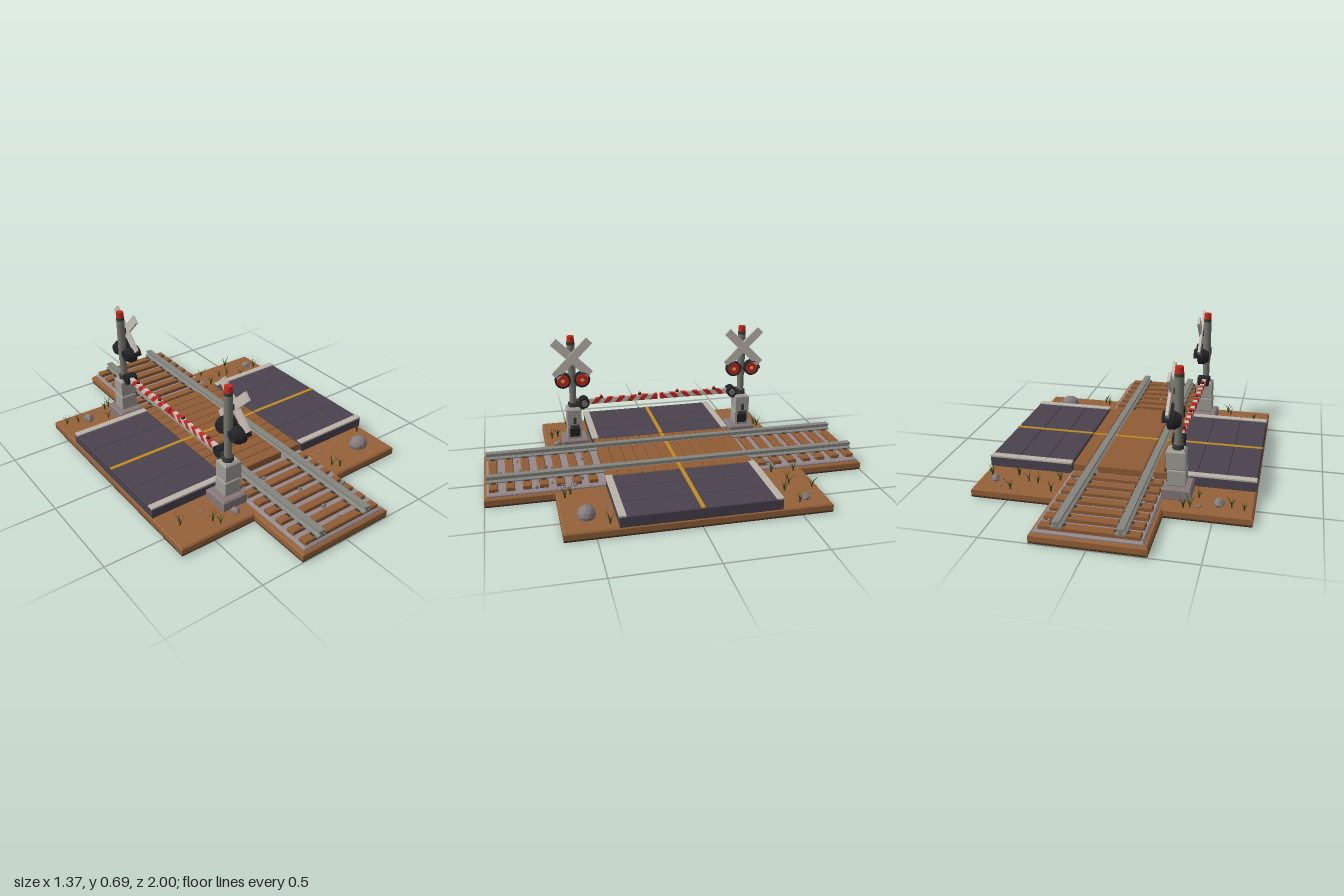
import * as THREE from 'three';

const C = {
  dirt: 0x96623a, under: 0x472f1e, ballast: 0x95898c, wood: 0x8f5c35, steel: 0x85857f, steelDark: 0x3a3a38,
  asphalt: 0x4a434f, curb: 0xbab4aa, yellow: 0xc08c22, concrete: 0x85797a, cabinet: 0xa09d97, pole: 0x77776f,
  black: 0x232327, red: 0xc8281f, white: 0xc9c2b8, amber: 0xe8a040, rock: 0x857d80, grass: 0x3b4a1e,
};
const mats = {};
const mat = (c) => (mats[c] ??= new THREE.MeshStandardMaterial({ color: c, flatShading: true }));
const smoothMat = (c) => (mats['s' + c] ??= new THREE.MeshStandardMaterial({ color: c }));

function add(parent, name, geo, material, x = 0, y = 0, z = 0) {
  const m = new THREE.Mesh(geo, material);
  m.name = name;
  m.position.set(x, y, z);
  parent.add(m);
  return m;
}
// Box given by its min and max on each axis
function box(parent, name, color, [x0, x1], [y0, y1], [z0, z1]) {
  return add(parent, name, new THREE.BoxGeometry(x1 - x0, y1 - y0, z1 - z0), mat(color),
    (x0 + x1) / 2, (y0 + y1) / 2, (z0 + z1) / 2);
}
// Slab with chamfered edges, extruded upwards from an x/z outline
function slabGeometry(points, height, bevel) {
  const shape = new THREE.Shape(points.map(([x, z]) => new THREE.Vector2(x, -z)));
  const geo = new THREE.ExtrudeGeometry(shape, {
    depth: height - 2 * bevel, bevelSize: bevel, bevelThickness: bevel, bevelOffset: -bevel, bevelSegments: 1,
  });
  return geo.rotateX(-Math.PI / 2).translate(0, bevel, 0);
}
function slab(parent, name, color, [x0, x1], [y0, y1], [z0, z1], bevel = 0.005) {
  const geo = slabGeometry([[x0, z1], [x1, z1], [x1, z0], [x0, z0]], y1 - y0, bevel);
  return add(parent, name, geo, mat(color), 0, y0, 0);
}
// Cylinder lying along x
function discX(parent, name, color, r, x0, x1, y, z, r2 = r) {
  const geo = new THREE.CylinderGeometry(r2, r, x1 - x0, 20).rotateZ(-Math.PI / 2);
  return add(parent, name, geo, smoothMat(color), (x0 + x1) / 2, y, z);
}
function seeded(seed) {
  return () => (seed = (seed * 16807) % 2147483647) / 2147483647;
}

function buildGround(root) {
  const g = new THREE.Group();
  g.name = 'ground';
  const cross = [[-0.27, 1], [0.265, 1], [0.265, 0.652], [0.682, 0.652], [0.682, -0.655], [0.265, -0.655],
    [0.265, -1], [-0.27, -1], [-0.27, -0.655], [-0.685, -0.655], [-0.685, 0.652], [-0.27, 0.652]];
  add(g, 'dirtBase', slabGeometry(cross, 0.043, 0.008), mat(C.dirt), 0, 0.004, 0);
  add(g, 'underside', slabGeometry(cross, 0.012, 0.004), mat(C.under));
  root.add(g);
}

function buildTrack(root) {
  const g = new THREE.Group();
  g.name = 'track';
  slab(g, 'ballast', C.ballast, [-0.25, 0.25], [0.04, 0.062], [-0.985, 0.985], 0.008);
  // Sleepers at both ends, outside the road
  for (let i = 0; i < 7; i++) {
    for (const s of [-1, 1]) {
      const z = s * (0.95 - i * 0.083);
      slab(g, 'sleeper', C.wood, [-0.235, 0.226], [0.058, 0.083], [z - 0.022, z + 0.022], 0.004);
    }
  }
  // Rails with foot, web and head
  const half = [[0.024, 0], [0.024, 0.006], [0.008, 0.012], [0.008, 0.02], [0.017, 0.023], [0.017, 0.033]];
  const outline = [...half, ...half.map(([x, y]) => [-x, y]).reverse()];
  const rail = new THREE.ExtrudeGeometry(new THREE.Shape(outline.map((p) => new THREE.Vector2(...p))),
    { depth: 1.97, bevelEnabled: false });
  for (const x of [-0.148, 0.14]) {
    add(g, 'rail', rail, mat(C.steel), x, 0.082, -0.985);
    // Spike plates on each sleeper
    for (let i = 0; i < 7; i++) {
      for (const s of [-1, 1]) {
        const z = s * (0.95 - i * 0.083);
        box(g, 'tiePlate', C.steelDark, [x - 0.034, x + 0.034], [0.08, 0.087], [z - 0.012, z + 0.012]);
      }
    }
  }
  // Loose ballast stones
  const rnd = seeded(71);
  for (let i = 0; i < 44; i++) {
    const s = i % 2 ? 1 : -1;
    const p = add(g, 'pebble', new THREE.DodecahedronGeometry(0.008 + rnd() * 0.008), mat(C.rock),
      -0.235 + rnd() * 0.47, 0.066, s * (0.42 + rnd() * 0.54));
    p.rotation.set(rnd() * 3, rnd() * 3, 0);
    p.scale.y = 0.8;
  }
  root.add(g);
}

function buildRoad(root) {
  const g = new THREE.Group();
  g.name = 'road';
  const cols = [0.247, 0.388, 0.537, 0.683], rows = [-0.395, -0.2, 0, 0.2, 0.395];
  for (const s of [-1, 1]) {
    for (let i = 0; i < 3; i++) {
      const xs = [s * cols[i], s * cols[i + 1]].sort((a, b) => a - b);
      for (let j = 0; j < 4; j++) {
        slab(g, 'asphaltSlab', C.asphalt, xs, [0.045, 0.103], [rows[j], rows[j + 1]], 0.004);
      }
      for (const z of [-0.38, 0.38]) {
        slab(g, 'curbStrip', C.curb, xs, [0.097, 0.109], [z - 0.018, z + 0.018], 0.002);
      }
    }
    const ends = [s * 0.247, s * 0.682].sort((a, b) => a - b);
    box(g, 'centreLine', C.yellow, ends, [0.1, 0.1055], [-0.01, 0.01]);
  }
  // Plank decking beside and between the rails
  for (let i = 0; i < 12; i++) {
    const z = -0.39 + i * 0.065;
    for (const xs of [[-0.243, -0.174], [-0.122, 0.114], [0.166, 0.24]]) {
      slab(g, 'deckPlank', C.wood, xs, [0.058, 0.102], [z + 0.001, z + 0.064], 0.004);
    }
  }
  for (const xs of [[-0.243, -0.174], [-0.122, 0.114], [0.166, 0.24]]) {
    box(g, 'deckLine', C.yellow, xs, [0.1, 0.1035], [-0.009, 0.009]);
  }
  root.add(g);
}

// One signal, standing at positive z with its arm reaching to the middle
function buildSignal() {
  const g = new THREE.Group(), px = -0.31, pz = 0.49;
  g.name = 'signal';
  slab(g, 'concretePad', C.concrete, [-0.385, -0.245], [0.043, 0.105], [0.415, 0.56], 0.008);
  slab(g, 'cabinetLower', C.cabinet, [-0.354, -0.264], [0.105, 0.188], [0.45, 0.531], 0.005);
  slab(g, 'cabinetUpper', C.cabinet, [-0.352, -0.258], [0.183, 0.287], [0.451, 0.53], 0.01);
  box(g, 'ventPanel', C.black, [-0.266, -0.26], [0.12, 0.168], [0.462, 0.519]);
  box(g, 'lockPlate', C.steelDark, [-0.26, -0.25], [0.2, 0.235], [0.482, 0.498]);
  box(g, 'hinge', C.steelDark, [-0.264, -0.25], [0.172, 0.19], [0.465, 0.515]);
  // Pole with collar and beacon
  const cyl = (name, c, r, y0, y1, rt = r) =>
    add(g, name, new THREE.CylinderGeometry(rt, r, y1 - y0, 16), smoothMat(c), px, (y0 + y1) / 2, pz);
  cyl('poleCollar', C.steelDark, 0.028, 0.285, 0.31);
  cyl('pole', C.pole, 0.019, 0.3, 0.66);
  cyl('poleSleeve', C.pole, 0.022, 0.4, 0.645);
  cyl('beaconSeat', C.steelDark, 0.022, 0.645, 0.66);
  cyl('beacon', C.red, 0.021, 0.66, 0.692, 0.019);
  // Crossed boards
  for (const s of [-1, 1]) {
    const b = add(g, 'crossBoard', new THREE.BoxGeometry(0.014, 0.046, 0.275), mat(C.white),
      -0.275 + s * 0.003, 0.575, pz);
    b.rotation.x = s * Math.PI / 4;
  }
  box(g, 'boardBracket', C.steelDark, [-0.3, -0.275], [0.56, 0.59], [pz - 0.012, pz + 0.012]);
  // Twin warning lamps with hoods
  box(g, 'lampBar', C.black, [-0.325, -0.29], [0.435, 0.465], [pz - 0.06, pz + 0.06]);
  for (const s of [-1, 1]) {
    const z = pz + s * 0.053;
    discX(g, 'lampHousing', C.black, 0.028, -0.328, -0.3, 0.449, z, 0.044);
    discX(g, 'lampRim', C.black, 0.044, -0.3, -0.272, 0.449, z);
    discX(g, 'lampLens', C.red, 0.037, -0.28, -0.266, 0.449, z, 0.032);
    discX(g, 'lampBulb', C.amber, 0.013, -0.27, -0.261, 0.449, z, 0.008);
    const hoodMat = new THREE.MeshStandardMaterial({ color: C.black, side: THREE.DoubleSide });
    const hood = new THREE.CylinderGeometry(0.043, 0.043, 0.028, 16, 1, true, 0, Math.PI).rotateZ(Math.PI / 2);
    // Put the open side of the hood downwards
    hood.computeBoundingBox();
    if (hood.boundingBox.max.y < 0.01) hood.rotateX(Math.PI);
    add(g, 'lampHood', hood, hoodMat, -0.26, 0.449, z);
  }
  // Barrier arm: pivot, striped boom and boom lamps
  const ay = 0.308;
  discX(g, 'armPivot', C.black, 0.029, -0.335, -0.275, ay, 0.43);
  discX(g, 'pivotCap', C.pole, 0.018, -0.28, -0.268, ay, 0.43);
  box(g, 'pivotMount', C.steelDark, [-0.33, -0.285], [0.27, 0.32], [0.43, 0.475]);
  const n = 12, z0 = 0.41, len = 0.402, slant = 0.013;
  for (let i = 0; i < n; i++) {
    const zb = z0 - (i + 1) * len / n, za = z0 - i * len / n;
    const edge = (z, k) => (k === 0 || k === n ? 0 : slant);
    const a = edge(za, i), b = edge(zb, i + 1);
    const shape = new THREE.Shape([[-za - a, -0.015], [-zb - b, -0.015], [-zb + b, 0.015], [-za + a, 0.015]]
      .map((p) => new THREE.Vector2(...p)));
    const geo = new THREE.ExtrudeGeometry(shape, { depth: 0.022, bevelEnabled: false });
    geo.rotateY(Math.PI / 2);
    add(g, 'armStripe', geo, mat(i % 2 ? C.red : C.white), -0.322, ay, 0);
  }
  for (const z of [0.11, 0.33]) {
    add(g, 'armLampBase', new THREE.CylinderGeometry(0.01, 0.01, 0.008, 10), mat(C.black), -0.311, ay + 0.018, z);
    add(g, 'armLamp', new THREE.SphereGeometry(0.008, 10, 6), smoothMat(C.red), -0.311, ay + 0.025, z);
  }
  return g;
}

function buildScenery(root) {
  const g = new THREE.Group(), rnd = seeded(29);
  g.name = 'scenery';
  // Rocks: x, z, radius
  for (const [x, z, r] of [[0.54, 0.53, 0.05], [-0.52, -0.56, 0.032], [0.6, -0.54, 0.027], [-0.335, 0.585, 0.025],
    [0.33, 0.45, 0.01], [0.47, 0.43, 0.008], [-0.47, 0.49, 0.01], [-0.43, -0.6, 0.012], [0.55, -0.6, 0.009]]) {
    const rock = add(g, 'rock', new THREE.IcosahedronGeometry(r, r > 0.04 ? 1 : 0), mat(C.rock), x, 0.047 + r * 0.3, z);
    rock.rotation.y = rnd() * 6;
    rock.scale.set(1.05, 0.85, 0.9);
  }
  // Grass tufts of bent, tapering blades
  const blade = new THREE.PlaneGeometry(0.009, 0.055, 1, 3).translate(0, 0.0275, 0);
  const p = blade.attributes.position;
  for (let i = 0; i < p.count; i++) {
    const t = p.getY(i) / 0.055;
    p.setX(i, p.getX(i) * (1 - t * 0.95));
    p.setZ(i, 0.03 * t * t);
  }
  blade.computeVertexNormals();
  const grassMat = new THREE.MeshStandardMaterial({ color: C.grass, side: THREE.DoubleSide });
  for (const [x, z] of [[-0.64, -0.59], [-0.58, -0.57], [-0.36, -0.62], [-0.39, -0.61], [-0.42, -0.51], [-0.6, 0.51],
    [-0.46, 0.575], [-0.44, 0.61], [0.29, -0.6], [0.38, -0.53], [0.43, -0.52], [0.5, -0.47], [0.63, -0.5],
    [0.28, -0.48], [0.49, -0.62], [0.3, 0.58], [0.33, 0.61], [0.63, 0.43]]) {
    for (let i = 0; i < 7; i++) {
      const b = add(g, 'grassBlade', blade, grassMat, x, 0.045, z);
      b.rotation.y = i * 0.9 + rnd();
      b.scale.setScalar(0.7 + rnd() * 0.45);
    }
  }
  root.add(g);
}

export function createModel() {
  const root = new THREE.Group();
  root.name = 'levelCrossing';
  buildGround(root);
  buildTrack(root);
  buildRoad(root);
  for (const s of [1, -1]) {
    const signal = buildSignal();
    signal.scale.z = s;
    root.add(signal);
  }
  buildScenery(root);
  return root;
}
